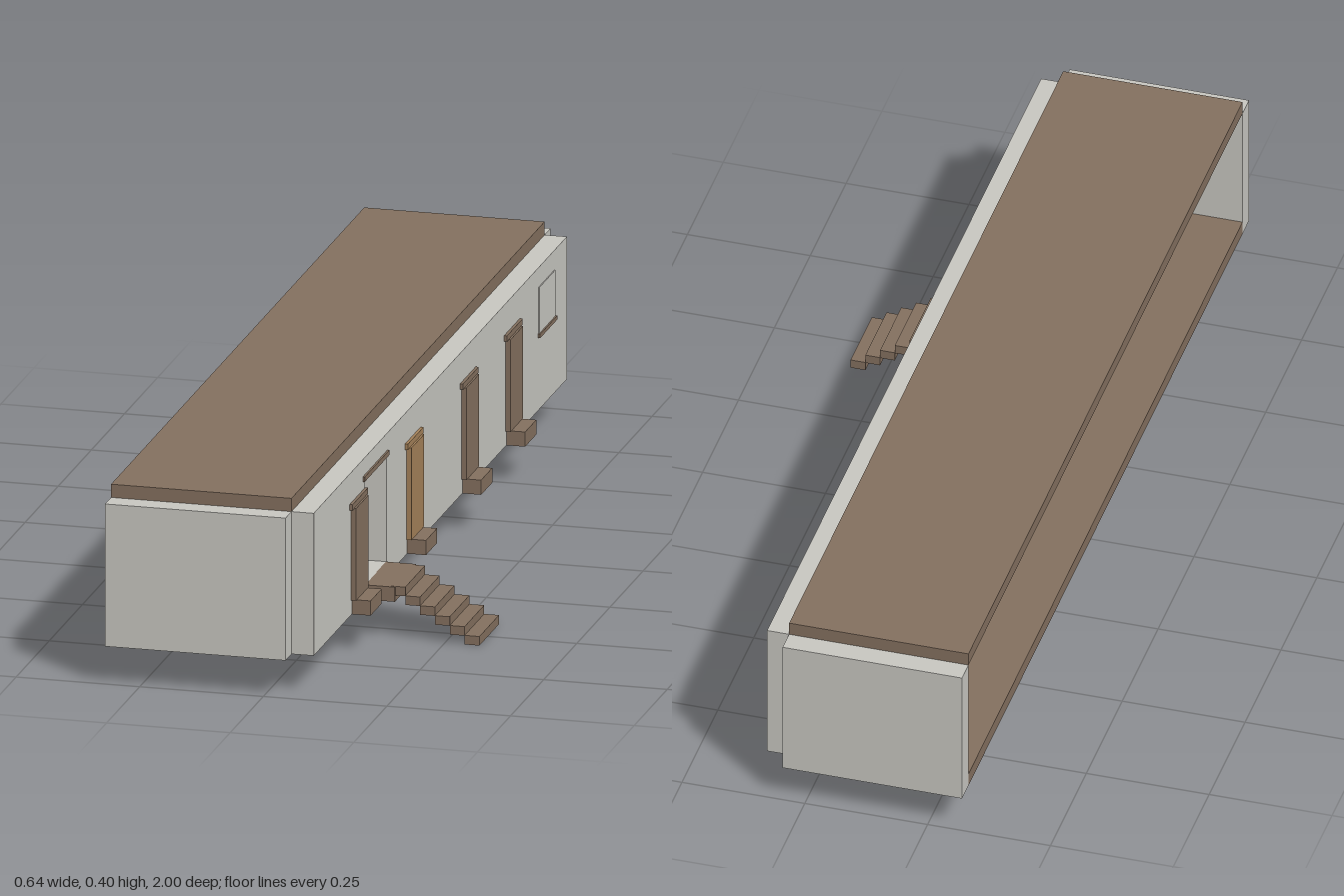
import * as THREE from 'three';

export function createModel() {
  const model = new THREE.Group();
  model.name = 'longHouse';

  const mat = (name, color) => {
    const m = new THREE.MeshStandardMaterial({ color });
    m.name = name;
    return m;
  };
  const plaster = mat('plaster', 0xc8c7c1);
  const wood = mat('brown wood', 0x84705f);
  const ochre = mat('ochre wood', 0xa5825a);

  // Box given by its limits on each axis
  const box = (name, material, [x0, x1], [y0, y1], [z0, z1], parent = model) => {
    const mesh = new THREE.Mesh(new THREE.BoxGeometry(x1 - x0, y1 - y0, z1 - z0), material);
    mesh.position.set((x0 + x1) / 2, (y0 + y1) / 2, (z0 + z1) / 2);
    mesh.name = name;
    parent.add(mesh);
    return mesh;
  };

  // Shell: floor, roof and end walls, open along the back
  box('floor', wood, [-0.32, 0.045], [0.077, 0.105], [-0.955, 0.955]);
  box('roof', wood, [-0.32, 0.045], [0.368, 0.395], [-0.955, 0.955]);
  box('endWall', plaster, [-0.32, 0.045], [0.077, 0.368], [0.955, 1]);
  box('endWall', plaster, [-0.32, 0.045], [0.077, 0.368], [-1, -0.955]);

  // Long wall with the open doorway cut through
  const rect = (target, z0, z1, y0, y1) =>
    target.moveTo(z0, y0).lineTo(z1, y0).lineTo(z1, y1).lineTo(z0, y1).closePath();
  const wall = rect(new THREE.Shape(), -0.955, 0.955, 0.077, 0.368);
  wall.holes.push(rect(new THREE.Path(), 0.407, 0.572, 0.107, 0.325));
  const wallGeometry = new THREE.ExtrudeGeometry(wall, { depth: 0.045, bevelEnabled: false });
  wallGeometry.rotateY(-Math.PI / 2).translate(0.09, 0, 0);
  const longWall = new THREE.Mesh(wallGeometry, plaster);
  longWall.name = 'longWall';
  model.add(longWall);
  box('doorwayLintel', wood, [0.089, 0.094], [0.323, 0.333], [0.4, 0.585]);

  // Closed doors, each with a lintel and a doorstep
  for (const [z, material] of [[0.626, wood], [0.208, ochre], [-0.208, wood], [-0.54, wood]]) {
    const door = new THREE.Group();
    door.name = 'door';
    box('doorLeaf', material, [0.044, 0.1], [0.107, 0.295], [z - 0.048, z + 0.048], door);
    box('doorLintel', material, [0.089, 0.096], [0.294, 0.306], [z - 0.059, z + 0.059], door);
    box('doorstep', material === ochre ? wood : material,
      [0.089, 0.128], [0.077, 0.107], [z - 0.042, z + 0.042], door);
    model.add(door);
  }

  // Flush window and its sill
  box('windowPane', plaster, [0.089, 0.092], [0.232, 0.328], [-0.86, -0.74]);
  box('windowSill', wood, [0.089, 0.095], [0.226, 0.234], [-0.865, -0.735]);

  // Landing and stairs to the ground
  box('landing', wood, [0.089, 0.15], [0.077, 0.107], [0.407, 0.567]);
  for (let i = 0; i < 6; i++) {
    const x = 0.14 + i * 0.03;
    const y = 0.089 - i * 0.0178;
    box('stairStep', wood, [x, x + 0.03], [y, y + 0.0185], [0.415, 0.563]);
  }

  // Low bench inside the doorway and small blocks under the roof
  box('bench', wood, [-0.06, 0.02], [0.105, 0.145], [0.34, 0.515]);
  for (let i = -3; i <= 3; i++) {
    const half = i === 0 ? 0.06 : 0.025;
    box('ceilingBlock', wood, [-0.305, -0.26], [0.338, 0.368], [i * 0.23 - half, i * 0.23 + half]);
  }
  return model;
}
